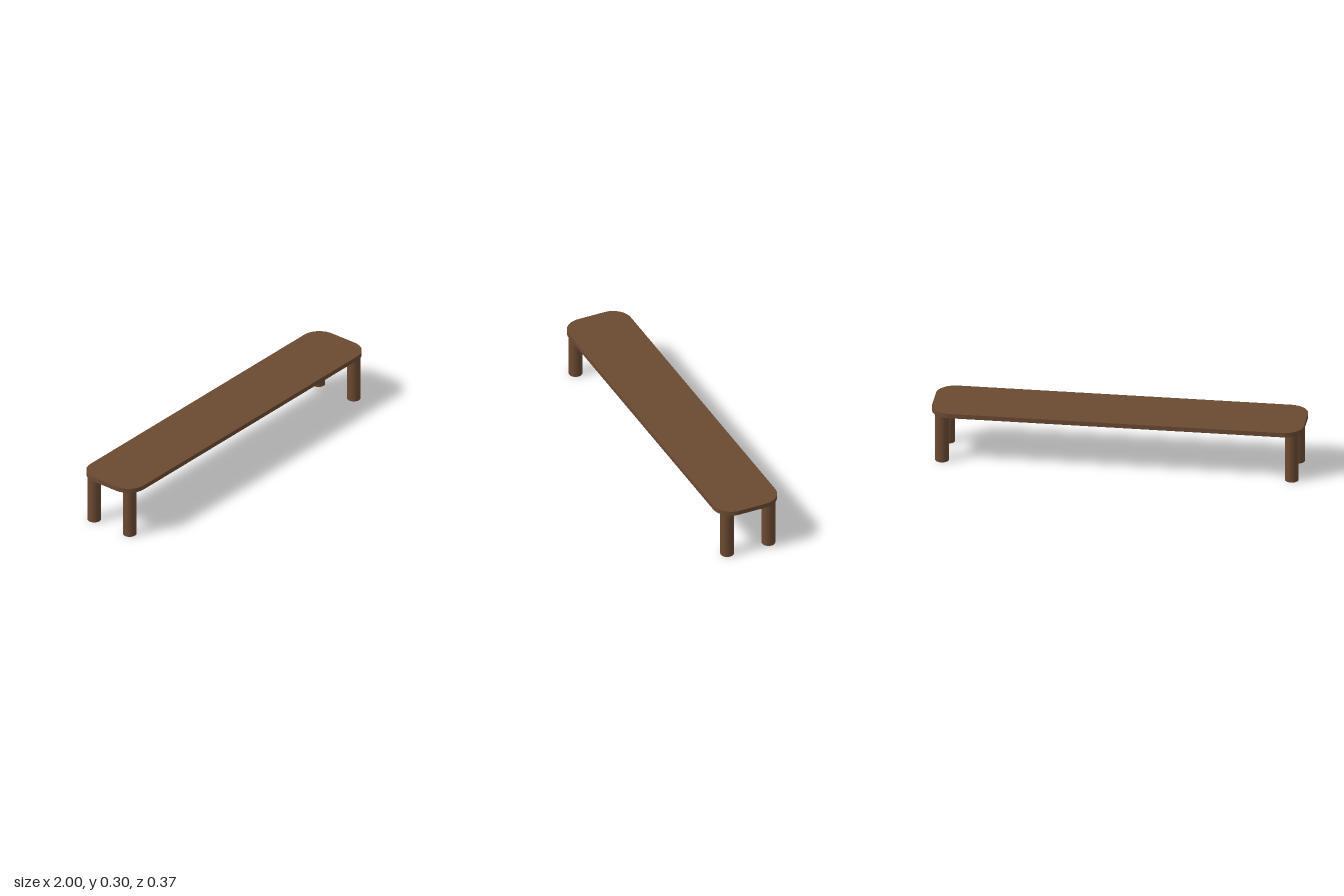
import * as THREE from 'three';

const HALF_X = 1, HALF_Z = 0.183, CORNER = 0.105;
const UNDERSIDE = 0.273, THICKNESS = 0.025;
const LEG_RADIUS = 0.0365, LEG_X = 0.94, LEG_Z = 0.122;

// Rectangle with rounded corners, centred on the origin
function roundedRect(hx, hy, r) {
  const s = new THREE.Shape();
  s.absarc(hx - r, hy - r, r, 0, Math.PI / 2);
  s.absarc(-hx + r, hy - r, r, Math.PI / 2, Math.PI);
  s.absarc(-hx + r, -hy + r, r, Math.PI, Math.PI * 1.5);
  s.absarc(hx - r, -hy + r, r, Math.PI * 1.5, Math.PI * 2);
  s.closePath();
  return s;
}

export function createModel() {
  const bench = new THREE.Group();
  bench.name = 'bench';
  const wood = new THREE.MeshStandardMaterial({ color: 0x6b4a32 });

  // Seat slab, extruded upwards from the leg tops
  const seatGeometry = new THREE.ExtrudeGeometry(roundedRect(HALF_X, HALF_Z, CORNER), {
    depth: THICKNESS, bevelEnabled: false, curveSegments: 16,
  });
  seatGeometry.rotateX(-Math.PI / 2);
  const seat = new THREE.Mesh(seatGeometry, wood);
  seat.name = 'seat';
  seat.position.y = UNDERSIDE;
  bench.add(seat);

  // Four round legs
  const legGeometry = new THREE.CylinderGeometry(LEG_RADIUS, LEG_RADIUS, UNDERSIDE, 32);
  for (const [sx, side] of [[1, 'Left'], [-1, 'Right']]) {
    for (const [sz, end] of [[1, 'front'], [-1, 'back']]) {
      const leg = new THREE.Mesh(legGeometry, wood);
      leg.name = `${end}${side}Leg`;
      leg.position.set(sx * LEG_X, UNDERSIDE / 2, sz * LEG_Z);
      bench.add(leg);
    }
  }
  return bench;
}
